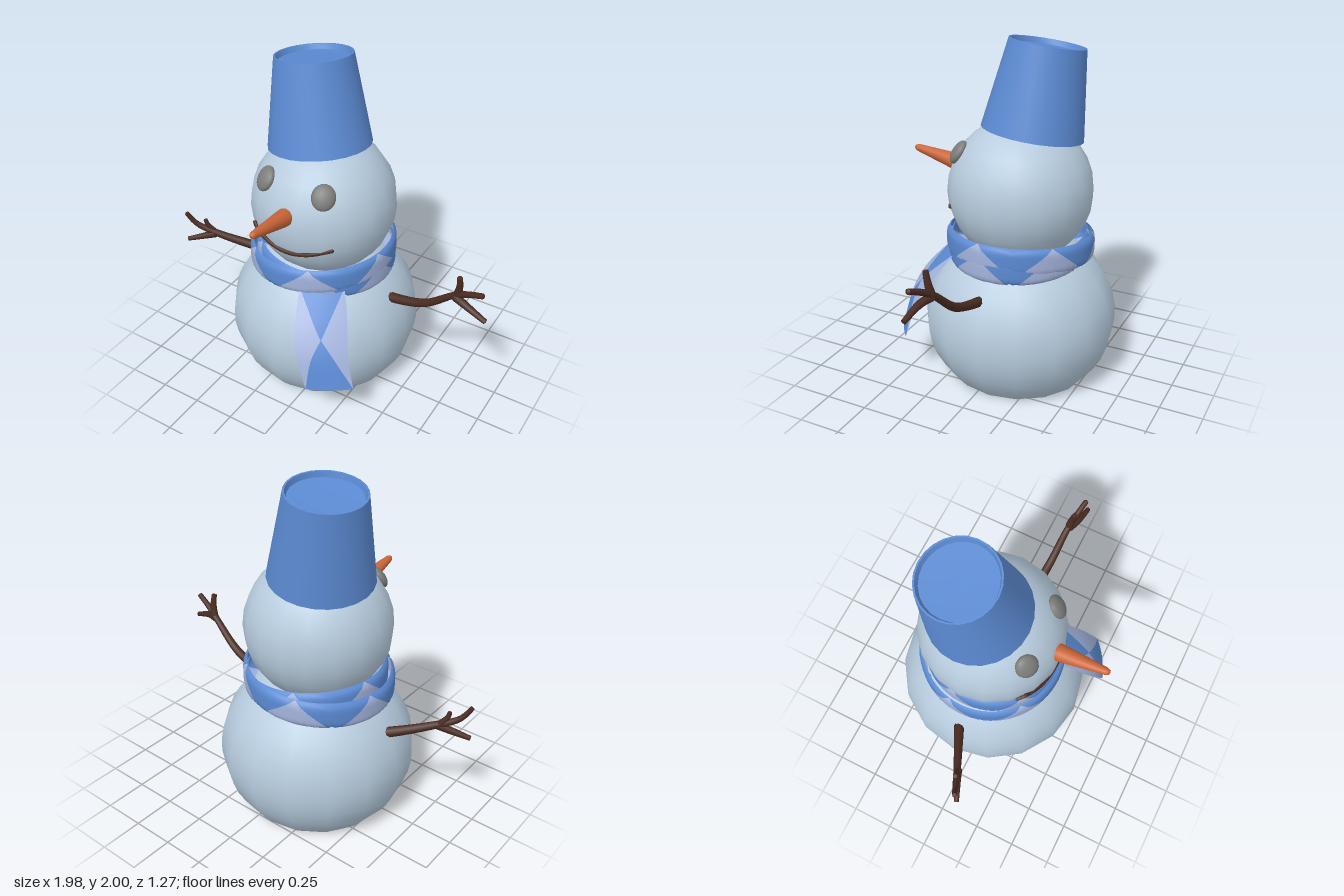
import * as THREE from 'three';
import { toCreasedNormals } from 'three/addons/utils/BufferGeometryUtils.js';
import { ParametricGeometry } from 'three/addons/geometries/ParametricGeometry.js';

const V = (x, y, z) => new THREE.Vector3(x, y, z);
const material = (name, color, side = THREE.FrontSide) => {
  const m = new THREE.MeshStandardMaterial({ color, side });
  m.name = name;
  return m;
};

export function createModel() {
  const snow = material('snow', 0xb7ccde);
  const blue = material('blue', 0x5b8ad2, THREE.DoubleSide);
  const paleBlue = material('paleBlue', 0xa3b3dc, THREE.DoubleSide);
  const orange = material('carrotOrange', 0xcc6638);
  const grey = material('stoneGrey', 0x7c7c7a);
  const brown = material('twigBrown', 0x4a2c22);

  const model = new THREE.Group();
  const add = (name, geometry, mat, parent = model) => {
    const mesh = new THREE.Mesh(geometry, mat);
    mesh.name = name;
    parent.add(mesh);
    return mesh;
  };
  const group = (name) => {
    const g = new THREE.Group();
    g.name = name;
    model.add(g);
    return g;
  };

  // Body: slightly squashed ball, cut flat at the ground
  const cut = Math.acos(-0.355 / 0.53);
  const body = add('body', new THREE.SphereGeometry(0.57, 16, 14, 0, Math.PI * 2, 0, cut), snow);
  body.scale.y = 0.93;
  body.position.set(-0.1, 0.355, -0.075);
  const base = add('bodyBase', new THREE.CircleGeometry(0.57 * Math.sin(cut), 16), snow);
  base.rotation.x = Math.PI / 2;
  base.position.set(-0.1, 0, -0.075);

  // Head
  const headCentre = V(-0.1, 1.14, -0.07), headRadius = 0.42;
  add('head', new THREE.SphereGeometry(headRadius, 18, 14), snow).position.copy(headCentre);
  const onHead = (x, y) => {
    const dx = x - headCentre.x, dy = y - headCentre.y;
    return V(x, y, headCentre.z + Math.sqrt(headRadius ** 2 - dx * dx - dy * dy));
  };

  // Eyes: flattened stones facing out from the head
  for (const side of [-1, 1]) {
    const dir = V(side * 0.185, 0.23, 0.3).normalize();
    const eye = add(side > 0 ? 'leftEye' : 'rightEye', new THREE.SphereGeometry(0.07, 14, 10), grey);
    eye.scale.set(0.95, 1.05, 0.5);
    eye.position.copy(headCentre).addScaledVector(dir, headRadius);
    eye.quaternion.setFromUnitVectors(V(0, 0, 1), dir);
  }

  // Nose: blunt carrot
  const noseFrom = V(-0.1, 1.222, 0.25), noseDir = V(0, 0.072, 0.375);
  const noseShape = [[0, 0], [0.052, 0], [0.05, 0.1], [0.021, 0.365], [0.012, 0.382], [0, 0.385]];
  const nose = add('nose', new THREE.LatheGeometry(noseShape.map(p => new THREE.Vector2(...p)), 12), orange);
  nose.position.copy(noseFrom);
  nose.quaternion.setFromUnitVectors(V(0, 1, 0), noseDir.normalize());

  // Twig: tapered tube with flat ends
  const twig = (points, r0, r1, segments = 14, sides = 8) => {
    const curve = new THREE.CatmullRomCurve3(points);
    const geo = new THREE.TubeGeometry(curve, segments, 1, sides);
    const pos = geo.attributes.position;
    for (let i = 0; i <= segments; i++) {
      const end = i === 0 || i === segments;
      const centre = curve.getPointAt(i / segments);
      const radius = end ? 0 : THREE.MathUtils.lerp(r0, r1, i / segments);
      // end rings collapse onto their neighbours to close the tube
      const target = curve.getPointAt(THREE.MathUtils.clamp(i, 0.8, segments - 0.8) / segments);
      for (let j = 0; j <= sides; j++) {
        const k = i * (sides + 1) + j;
        const p = V().fromBufferAttribute(pos, k).sub(centre).multiplyScalar(radius).add(target);
        pos.setXYZ(k, p.x, p.y, p.z);
      }
    }
    return toCreasedNormals(geo, 0.9);
  };

  // Mouth: forked twig lying on the head
  const mouth = group('mouth');
  const mouthLine = [[-0.4, 1.03], [-0.34, 1.055], [-0.24, 1.028], [-0.1, 1.008], [0.03, 1.025], [0.175, 1.068]];
  add('mouthTwig', twig(mouthLine.map(p => onHead(...p)), 0.013, 0.012, 28, 6), brown, mouth);
  add('mouthFork', twig([onHead(-0.325, 1.05), onHead(-0.358, 1.088)], 0.011, 0.009, 6, 6), brown, mouth);

  // Arms: one main twig each, with side twigs
  const leftArm = group('leftArm');
  add('leftBranch', twig([V(0.3, 0.615, -0.05), V(0.45, 0.645, -0.035), V(0.6, 0.7, -0.02),
    V(0.78, 0.85, 0), V(0.87, 0.905, 0.02), V(0.985, 0.955, 0.045)], 0.031, 0.015, 20), brown, leftArm);
  add('leftUpperTwig', twig([V(0.79, 0.85, 0), V(0.805, 0.92, 0.01), V(0.805, 1.005, 0.025)], 0.024, 0.015), brown, leftArm);
  add('leftLowerTwig', twig([V(0.77, 0.845, 0), V(0.86, 0.83, 0.03), V(1, 0.78, 0.05)], 0.026, 0.014), brown, leftArm);

  const rightArm = group('rightArm');
  add('rightBranch', twig([V(-0.54, 0.6, -0.08), V(-0.66, 0.64, -0.02), V(-0.82, 0.705, 0.06),
    V(-0.93, 0.765, 0.11), V(-0.995, 0.865, 0.145)], 0.032, 0.013, 20), brown, rightArm);
  add('rightUpperTwig', twig([V(-0.83, 0.71, 0.06), V(-0.87, 0.765, 0.08), V(-0.88, 0.805, 0.085)], 0.018, 0.012), brown, rightArm);
  add('rightLowerTwig', twig([V(-0.81, 0.705, 0.06), V(-0.88, 0.68, 0.09), V(-1, 0.64, 0.145)], 0.026, 0.013), brown, rightArm);

  // Hat: upturned bucket, tilted back and to one side
  const hatShape = [[0.275, 0.03], [0.295, 0], [0.218, 0.505], [0.208, 0.505], [0.198, 0.475], [0, 0.465]];
  const hat = add('bucketHat', toCreasedNormals(
    new THREE.LatheGeometry(hatShape.map(p => new THREE.Vector2(...p)), 24), 0.6), blue);
  hat.position.set(-0.153, 1.465, -0.115);
  hat.quaternion.setFromUnitVectors(V(0, 1, 0), V(-0.07, 0.5, -0.055).normalize());

  // Scarf wraps: two tilted bands, each split by a zigzag into blue and pale triangles
  const scarf = group('scarf');
  const zigzag = (u) => Math.abs(((u * 6 + 0.67) % 1) * 2 - 1);
  const wrap = (name, cx, radius, slope) => {
    const point = (u, v, target) => {
      const a = u * Math.PI * 2, edge = Math.abs(2 * v - 1);
      const r = radius - (v < 0.5 ? 0.06 : 0.025) * edge ** 5;
      const x = r * Math.sin(a);
      target.set(cx + x, 0.822 + slope * x + (v - 0.5) * 0.17, -0.07 + r * Math.cos(a));
    };
    add(name + 'Blue', new ParametricGeometry((u, v, t) => {
      const h = zigzag(u);
      point(u, h + (1.0001 - h) * v, t);
    }, 72, 8), blue, scarf);
    add(name + 'Pale', new ParametricGeometry((u, v, t) =>
      point(u, (zigzag(u) + 0.0001) * v, t), 72, 8), paleBlue, scarf);
  };
  wrap('outerWrap', -0.108, 0.432, 0.085);
  wrap('innerWrap', -0.085, 0.41, -0.085);

  // Scarf tail: sheet between two edge curves, with a blue hourglass in the middle
  const inner = new THREE.CatmullRomCurve3([V(-0.02, 0.79, 0.32), V(0.01, 0.71, 0.4), V(0.05, 0.6, 0.49),
    V(0.1, 0.48, 0.545), V(0.17, 0.3, 0.57)]);
  const outer = new THREE.CatmullRomCurve3([V(0.2, 0.8, 0.2), V(0.25, 0.71, 0.26), V(0.3, 0.6, 0.33),
    V(0.34, 0.48, 0.39), V(0.4, 0.3, 0.43)]);
  const tailPart = (name, mat, from, to) => add(name, new ParametricGeometry((u, v, target) => {
    const t = 1 - v;
    const half = 0.002 + (t < 0.56 ? (0.56 - t) / 0.56 : (t - 0.56) / 0.44) * 0.498;
    const s = THREE.MathUtils.lerp(from(half), to(half), u);
    target.copy(inner.getPoint(t)).lerp(outer.getPoint(t), s);
    // gentle outward bow across the width
    target.addScaledVector(V(0.45, 0.2, 0.87), 0.06 * s * (1 - s));
  }, 6, 25), mat, scarf);
  tailPart('tailPaleInner', paleBlue, () => 0, h => 0.5 - h);
  tailPart('tailBlue', blue, h => 0.5 - h, h => 0.5 + h);
  tailPart('tailPaleOuter', paleBlue, h => 0.5 + h, () => 1);

  return model;
}
